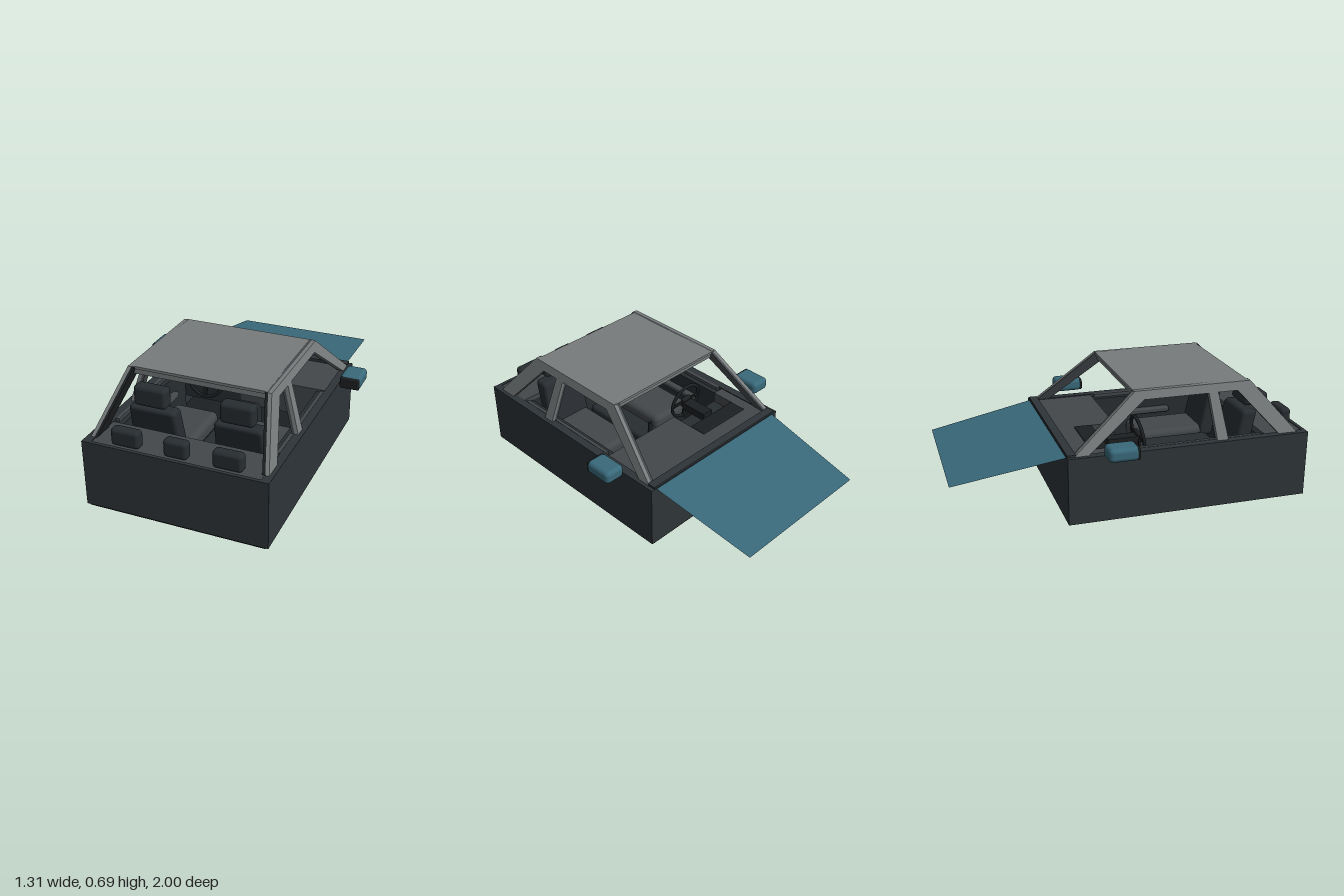
import * as THREE from 'three';
import { RoundedBoxGeometry } from 'three/addons/geometries/RoundedBoxGeometry.js';

export function createModel() {
  const model = new THREE.Group();
  const mat = (color, side = THREE.FrontSide) => new THREE.MeshStandardMaterial({ color, side });
  const shell = mat(0x2e3438), grey = mat(0x777b7c), trim = mat(0x43474a);
  const dark = mat(0x282d31), black = mat(0x1c1f21);
  const teal = mat(0x39697a), tealSheet = mat(0x39697a, THREE.DoubleSide);

  const add = (name, geometry, material, x = 0, y = 0, z = 0, parent = model) => {
    const mesh = new THREE.Mesh(geometry, material);
    mesh.name = name;
    mesh.position.set(x, y, z);
    parent.add(mesh);
    return mesh;
  };
  // boxes given by their lower and upper corners
  const place = (name, m, a, b, geo, parent) => add(name, geo(b[0] - a[0], b[1] - a[1], b[2] - a[2]), m,
    (a[0] + b[0]) / 2, (a[1] + b[1]) / 2, (a[2] + b[2]) / 2, parent);
  const box = (name, m, a, b, parent) => place(name, m, a, b, (w, h, d) => new THREE.BoxGeometry(w, h, d), parent);
  const soft = (name, m, a, b, r = 0.02, parent) =>
    place(name, m, a, b, (w, h, d) => new RoundedBoxGeometry(w, h, d, 3, r), parent);
  const polygon = pts => new THREE.Shape(pts.map(p => new THREE.Vector2(...p)));

  // open tub with thick walls
  const tub = polygon([[-0.512, -1], [0.512, -1], [0.512, 0.39], [-0.512, 0.39]]);
  tub.holes.push(polygon([[-0.465, -0.98], [-0.465, 0.34], [0.465, 0.34], [0.465, -0.98]]));
  add('bodyShell', new THREE.ExtrudeGeometry(tub, { depth: 0.382, bevelEnabled: false }).rotateX(-Math.PI / 2),
    shell, 0, 0.008, 0);
  box('floor', black, [-0.495, 0, -0.385], [0.495, 0.06, 0.995]);
  box('cowl', shell, [-0.49, 0.38, -0.388], [0.49, 0.402, -0.34]);

  // flat hood sheet falling away from the cowl
  const hood = new THREE.ShapeGeometry(polygon([[-0.475, 0.39], [0.475, 0.39], [0.425, 1], [-0.425, 1]]))
    .rotateX(-Math.PI / 2);
  const hp = hood.attributes.position;
  for (let i = 0; i < hp.count; i++) hp.setY(i, 0.385 + (hp.getZ(i) + 0.39) * 0.18);
  hood.computeVertexNormals();
  add('hood', hood, tealSheet);

  // roof with its cross members
  box('roofPanel', grey, [-0.39, 0.675, 0.005], [0.39, 0.69, 0.67]);
  box('frontHeader', grey, [-0.38, 0.643, 0.02], [0.38, 0.68, 0.06]);
  box('rearHeader', grey, [-0.38, 0.643, 0.61], [0.38, 0.68, 0.66]);

  // side frame profiles as (z, y), leaning inwards towards the roof
  const profiles = {
    frontPillar: [[0.01, 0.69], [-0.35, 0.39], [-0.27, 0.39], [0.06, 0.643]],
    middlePillar: [[0.43, 0.65], [0.46, 0.39], [0.525, 0.39], [0.485, 0.65]],
    rearPillar: [[0.68, 0.69], [0.6, 0.643], [0.83, 0.39], [0.94, 0.39]],
    roofRail: [[0.01, 0.69], [0.06, 0.643], [0.6, 0.643], [0.68, 0.69]],
  };
  const framePart = (name, pts, material, s, inset, depth) => {
    const geo = new THREE.ExtrudeGeometry(polygon(pts), { depth, bevelEnabled: false }).rotateY(-Math.PI / 2);
    const p = geo.attributes.position;
    for (let i = 0; i < p.count; i++) {
      const outer = 0.49 - inset - (p.getY(i) - 0.39) * 0.3;
      p.setX(i, s > 0 ? p.getX(i) + outer : p.getX(i) - outer + depth);
    }
    geo.computeVertexNormals();
    add(name, geo, material);
  };

  for (const s of [-1, 1]) {
    for (const [name, pts] of Object.entries(profiles)) {
      framePart(name, pts, grey, s, 0, 0.02);
      framePart(name + 'Lining', pts, name === 'rearPillar' ? black : trim, s, 0.02, 0.016);
    }

    soft('sunVisor', dark, [s * 0.22 - 0.15, 0.644, 0.06], [s * 0.22 + 0.15, 0.66, 0.18], 0.007);

    // door lining with a lighter sill strip
    box('doorPanel', dark, [s * 0.44 - 0.025, 0.06, 0], [s * 0.44 + 0.025, 0.372, 0.74]);
    box('doorSill', trim, [s * 0.455 - 0.01, 0.37, 0.02], [s * 0.455 + 0.01, 0.392, 0.73]);
    soft('armrest', trim, [s * 0.405 - 0.025, 0.25, 0.15], [s * 0.405 + 0.025, 0.285, 0.5], 0.012);

    // wing mirror with its dark glass
    const mirror = new THREE.Group();
    mirror.name = 'wingMirror';
    model.add(mirror);
    soft('mirrorHousing', teal, [s * 0.593 - 0.061, 0.398, -0.205], [s * 0.593 + 0.061, 0.474, -0.037], 0.025, mirror);
    soft('mirrorGlass', black, [s * 0.593 - 0.057, 0.402, -0.055], [s * 0.593 + 0.057, 0.469, -0.034], 0.01, mirror);

    // seat with a reclined, tapering back
    const seat = new THREE.Group();
    seat.name = 'seat';
    seat.position.x = s * 0.242;
    model.add(seat);
    soft('seatBase', black, [-0.12, 0.06, 0.27], [0.12, 0.15, 0.62], 0.02, seat);
    soft('seatCushion', trim, [-0.14, 0.14, 0.2], [0.14, 0.24, 0.66], 0.035, seat);
    const back = new RoundedBoxGeometry(0.285, 0.32, 0.09, 3, 0.022);
    const bp = back.attributes.position;
    for (let i = 0; i < bp.count; i++) {
      const t = bp.getY(i) / 0.32 + 0.5;
      bp.setX(i, bp.getX(i) * (1.03 - 0.1 * t));
      bp.setZ(i, bp.getZ(i) + (t - 1) * 0.07);
    }
    back.computeVertexNormals();
    add('seatBack', back, dark, 0, 0.338, 0.705, seat);
    soft('headrest', dark, [-0.093, 0.512, 0.683], [0.093, 0.627, 0.76], 0.022, seat);
    for (const px of [-0.045, 0.045])
      add('headrestPost', new THREE.CylinderGeometry(0.006, 0.006, 0.08, 10), grey, px, 0.495, 0.715, seat);
  }

  // rear shelf and its low headrests
  box('rearShelf', trim, [-0.465, 0.35, 0.755], [0.465, 0.385, 0.98]);
  box('rearBulkhead', dark, [-0.465, 0.06, 0.765], [0.465, 0.35, 0.79]);
  for (const [x, w] of [[-0.28, 0.16], [0, 0.13], [0.28, 0.16]])
    soft('rearHeadrest', dark, [x - w / 2, 0.383, 0.905], [x + w / 2, 0.48, 0.968], 0.02);

  // dashboard, lower in front of the driver
  box('dashboardTop', trim, [-0.465, 0.2, -0.34], [0.465, 0.385, -0.24]);
  box('passengerDashboard', trim, [-0.05, 0.2, -0.24], [0.465, 0.385, 0]);
  box('driverDashboard', dark, [-0.465, 0.18, -0.24], [-0.05, 0.325, 0]);
  box('dashboardEnd', trim, [-0.465, 0.2, -0.24], [-0.4, 0.385, 0]);
  soft('instrumentHood', black, [-0.4, 0.32, -0.24], [-0.05, 0.392, -0.135], 0.012);
  soft('centreConsole', dark, [-0.07, 0.06, -0.05], [0.07, 0.22, 0.62], 0.02);
  add('gearLever', new THREE.CylinderGeometry(0.012, 0.016, 0.09, 12), black, 0, 0.25, 0.15);

  // steering wheel and column
  const wheel = new THREE.Group();
  wheel.name = 'steeringWheel';
  wheel.position.set(-0.235, 0.37, 0.085);
  wheel.rotation.x = -0.15;
  model.add(wheel);
  add('wheelRim', new THREE.TorusGeometry(0.11, 0.01, 10, 40), black, 0, 0, 0, wheel);
  soft('wheelHub', black, [-0.035, -0.03, -0.015], [0.035, 0.03, 0.012], 0.01, wheel);
  for (const a of [0, Math.PI, -Math.PI / 2]) {
    const spoke = add('wheelSpoke', new THREE.BoxGeometry(0.09, 0.022, 0.01), black,
      Math.cos(a) * 0.065, Math.sin(a) * 0.065, 0, wheel);
    spoke.rotation.z = a;
  }
  box('steeringColumn', black, [-0.27, 0.33, -0.1], [-0.2, 0.375, 0.075]);

  return model;
}
